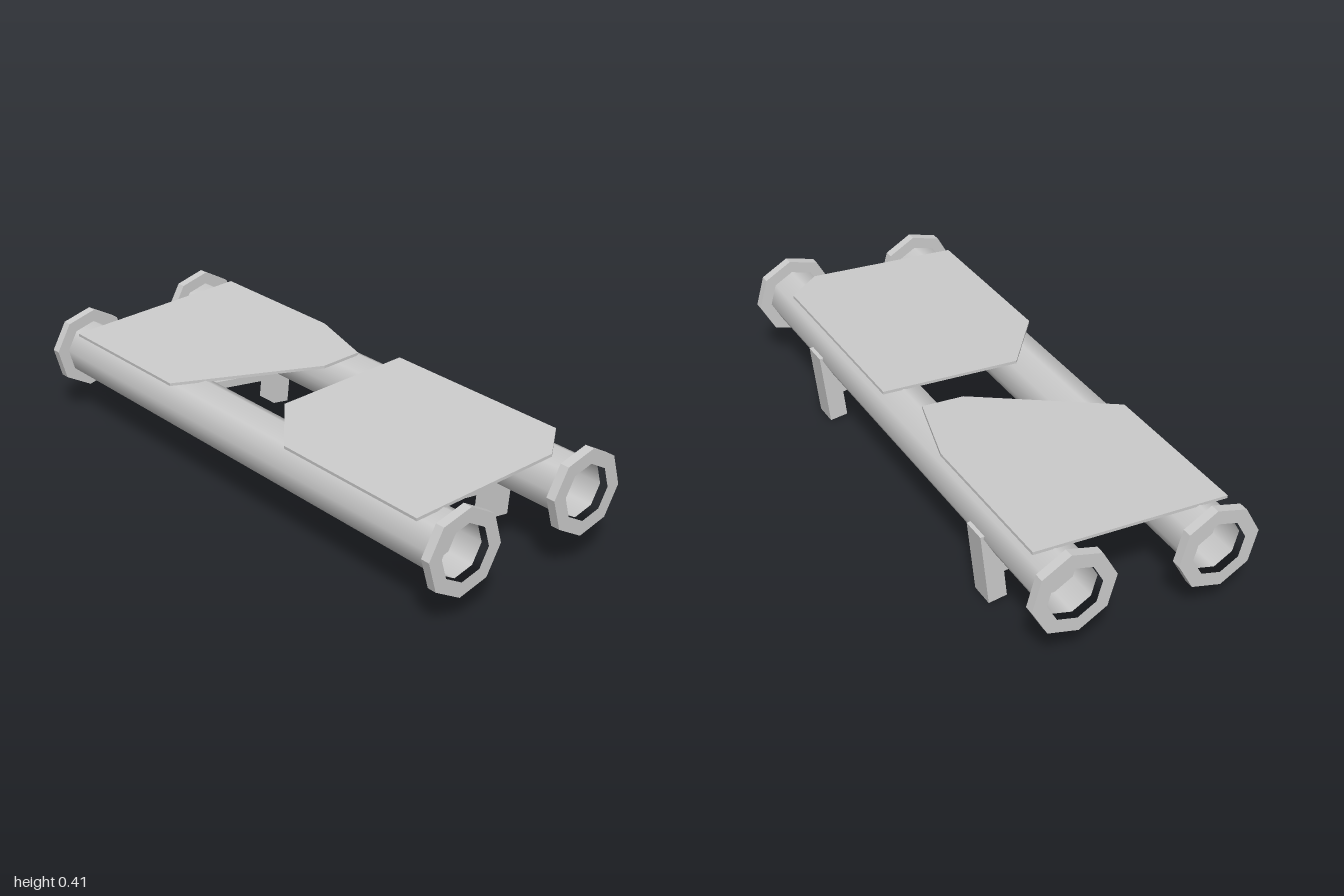
import * as THREE from 'three';

const SIDES = 8;
const TWIST = 0.115; // roll of the octagons about the pipe axis
const grey = new THREE.MeshStandardMaterial({ color: 0xcccccc });
grey.name = 'plain grey';
const greyOpen = grey.clone();
greyOpen.side = THREE.DoubleSide;

function add(parent, name, geometry, material = grey) {
  const mesh = new THREE.Mesh(geometry, material);
  mesh.name = name;
  parent.add(mesh);
  return mesh;
}

// Octagon points in a plane that is later turned to face x
function octagon(r) {
  return Array.from({ length: SIDES }, (_, i) => {
    const a = TWIST + (i / SIDES) * Math.PI * 2;
    return new THREE.Vector2(-r * Math.cos(a), r * Math.sin(a));
  });
}

// Octagonal tube along x
function tube(r, length) {
  return new THREE.CylinderGeometry(r, r, length, SIDES, 1, true, -TWIST).rotateZ(-Math.PI / 2);
}

// Smooth pipe with a flat octagonal collar and a recessed bore at each end
function buildPipe(name, y, z) {
  const pipe = new THREE.Group();
  pipe.name = name;
  pipe.position.set(0, y, z);
  add(pipe, 'pipeWall', tube(0.1, 1.94));
  for (const s of [-1, 1]) {
    const ring = new THREE.Shape(octagon(0.1435));
    ring.holes.push(new THREE.Path(octagon(0.094)));
    const collar = new THREE.ExtrudeGeometry(ring, { depth: 0.033, bevelEnabled: false });
    collar.rotateY(Math.PI / 2);
    add(pipe, 'collar', collar).position.x = s > 0 ? 0.967 : -1;
    add(pipe, 'bore', tube(0.094, 0.1), greyOpen).position.x = s * 0.92;
    const plug = new THREE.ShapeGeometry(new THREE.Shape(octagon(0.094))).rotateY(Math.PI / 2);
    add(pipe, 'borePlug', plug, greyOpen).position.x = s * 0.87;
  }
  return pipe;
}

// Thin deck plate from an outline of [x, z] corners, tilted up to the back
function buildPlate(name, corners) {
  const shape = new THREE.Shape(corners.map(([x, z]) => new THREE.Vector2(x, -z)));
  const geometry = new THREE.ExtrudeGeometry(shape, { depth: 0.01, bevelEnabled: false });
  geometry.rotateX(-Math.PI / 2);
  geometry.translate(0, -0.01, 0);
  geometry.rotateX(0.06);
  geometry.translate(0, 0.356, 0);
  const mesh = new THREE.Mesh(geometry, grey);
  mesh.name = name;
  return mesh;
}

// Prism from a [z, y] side outline, centred on x
function sideProfile(corners, width) {
  const shape = new THREE.Shape(corners.map(([z, y]) => new THREE.Vector2(-z, y)));
  const geometry = new THREE.ExtrudeGeometry(shape, { depth: width, bevelEnabled: false });
  return geometry.rotateY(Math.PI / 2).translate(-width / 2, 0, 0);
}

export function createModel() {
  const model = new THREE.Group();
  model.name = 'pipeRack';

  model.add(buildPipe('frontPipe', 0.237, 0.252));
  model.add(buildPipe('backPipe', 0.265, -0.251));

  model.add(buildPlate('rightPlate', [
    [-0.9, -0.335], [-0.34, -0.335], [-0.07, -0.26], [-0.07, -0.11], [-0.33, 0.346], [-0.9, 0.346],
  ]));
  model.add(buildPlate('leftPlate', [
    [0.06, -0.335], [0.785, -0.335], [0.892, -0.205], [0.892, 0.346], [0.285, 0.346], [0.06, 0.165],
  ]));

  // Leaning back legs, each with a brace to the front pipe
  for (const [side, x] of [['right', -0.598], ['left', 0.558]]) {
    const support = new THREE.Group();
    support.name = side + 'Support';
    support.position.x = x;
    add(support, 'leg', sideProfile(
      [[-0.268, 0.008], [-0.332, 0], [-0.361, 0.262], [-0.297, 0.269]], 0.086));
    add(support, 'brace', sideProfile(
      [[0.2, 0.159], [-0.29, 0.104], [-0.293, 0.132], [0.197, 0.187]], 0.086));
    model.add(support);
  }
  return model;
}
